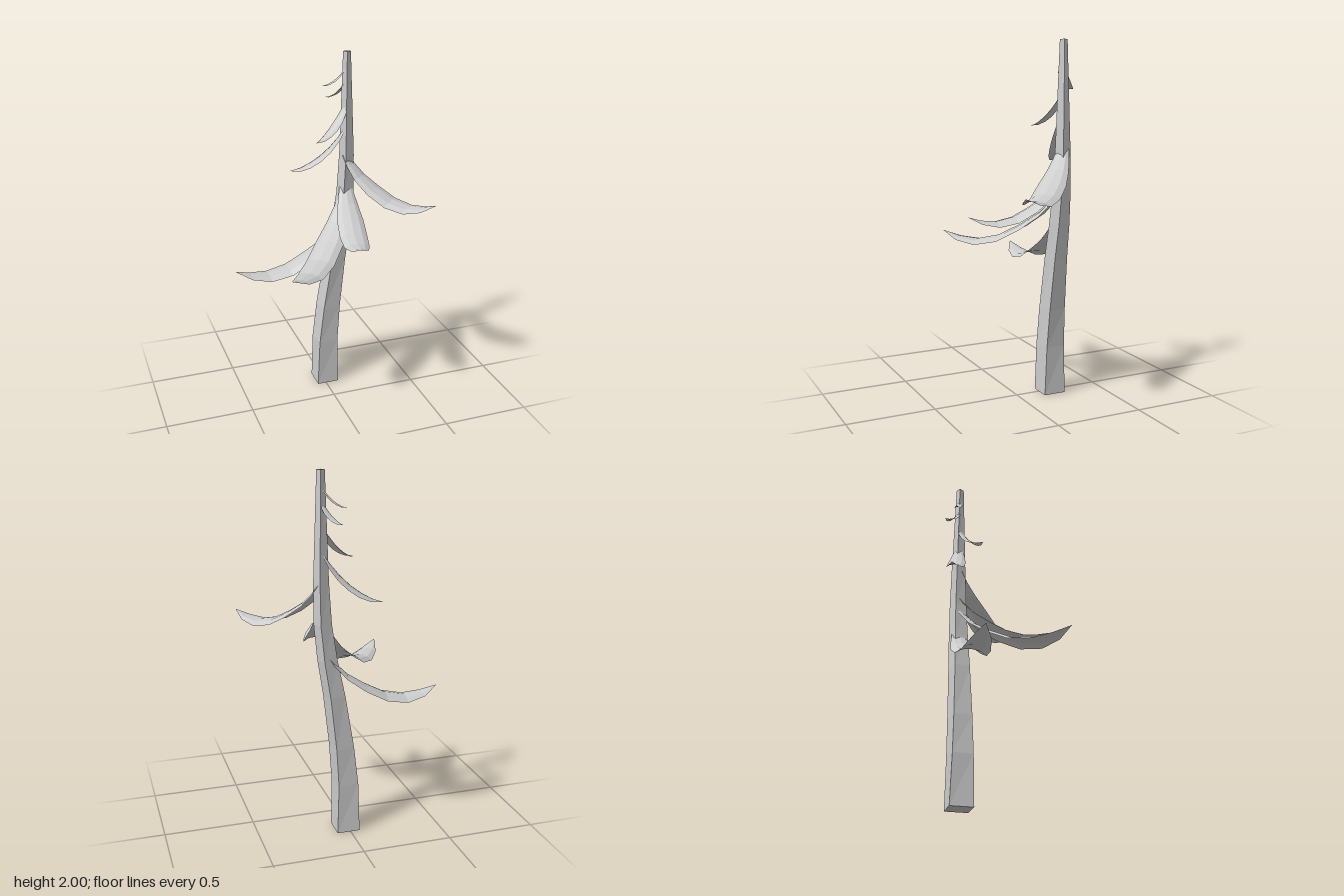
import * as THREE from 'three';

const grey = new THREE.MeshStandardMaterial({ color: 0xcccccc, side: THREE.DoubleSide });
grey.name = 'pale grey';

// Trunk centre line: [height, x]
const TRUNK = [[0, 0.012], [0.28, 0.015], [0.5, 0.035], [0.8, 0.077], [1.0, 0.114], [1.2, 0.139], [1.42, 0.147], [2, 0.147]];
const TRUNK_Z = -0.206;

// Frond centre lines: [distance out, drop], as fractions of the reach
const ARCHED = [[0, 0], [0.07, 0.1], [0.18, 0.21], [0.34, 0.315], [0.52, 0.41], [0.7, 0.45], [0.86, 0.435], [1, 0.395]];
const HANGING = [[0, 0], [0.07, 0.12], [0.16, 0.26], [0.31, 0.44], [0.48, 0.6], [0.65, 0.72], [0.82, 0.81], [1, 0.86]];
const WIDTHS = [0.4, 0.55, 0.77, 0.97, 1, 0.9, 0.6, 0];
// Cross-section of a frond: [across, sag], as fractions of the half width
const SECTION = [[-1, -0.34], [-0.6, -0.09], [0, 0], [0.6, -0.09], [1, -0.34]];

// Skin a grid of rings with flat facets
function skin(rings, closed) {
  const positions = [], index = [], n = rings[0].length;
  rings.forEach(ring => ring.forEach(p => positions.push(p.x, p.y, p.z)));
  for (let i = 0; i < rings.length - 1; i++) {
    for (let j = 0; j < (closed ? n : n - 1); j++) {
      const a = i * n + j, b = i * n + (j + 1) % n;
      index.push(a, b, b + n, a, b + n, a + n);
    }
  }
  if (closed) {
    const t = (rings.length - 1) * n;
    index.push(0, 2, 1, 0, 3, 2, t, t + 1, t + 2, t, t + 2, t + 3);
  }
  const indexed = new THREE.BufferGeometry();
  indexed.setAttribute('position', new THREE.Float32BufferAttribute(positions, 3));
  indexed.setIndex(index);
  const geometry = indexed.toNonIndexed();
  geometry.computeVertexNormals();
  return geometry;
}

function trunkX(y) {
  const i = Math.max(1, TRUNK.findIndex(p => p[0] >= y));
  const [y0, x0] = TRUNK[i - 1], [y1, x1] = TRUNK[i];
  return THREE.MathUtils.mapLinear(y, y0, y1, x0, x1);
}

// Square, tapering and gently twisted trunk
function trunkGeometry() {
  const rings = TRUNK.map(([y, x]) => {
    const half = 0.064 - 0.0245 * y;
    const twist = THREE.MathUtils.degToRad(15 * y);
    return [[-1, 1], [1, 1], [1, -1], [-1, -1]].map(([sx, sz]) =>
      new THREE.Vector3(sx * half, 0, sz * half)
        .applyAxisAngle(new THREE.Vector3(0, 1, 0), twist)
        .add(new THREE.Vector3(x, y, TRUNK_Z)));
  });
  return skin(rings, true);
}

// Curved, ridged frond running from the trunk to its tip
function frondGeometry({ rootY, tip, halfWidth, profile }) {
  const root = new THREE.Vector3(trunkX(rootY), rootY, TRUNK_Z);
  const out = new THREE.Vector3(tip[0] - root.x, 0, tip[1] - root.z);
  const reach = out.length();
  out.normalize();
  const up = new THREE.Vector3(0, 1, 0);
  const side = new THREE.Vector3().crossVectors(out, up);
  const rings = profile.map(([u, drop], i) => {
    const before = profile[Math.max(i - 1, 0)];
    const after = profile[Math.min(i + 1, profile.length - 1)];
    const tangent = out.clone().multiplyScalar(after[0] - before[0])
      .addScaledVector(up, before[1] - after[1]).normalize();
    const normal = new THREE.Vector3().crossVectors(side, tangent);
    const w = halfWidth * WIDTHS[i];
    return SECTION.map(([across, sag]) => root.clone()
      .addScaledVector(out, u * reach)
      .addScaledVector(up, -drop * reach)
      .addScaledVector(side, across * w)
      .addScaledVector(normal, sag * w));
  });
  return skin(rings, false);
}

const FRONDS = [
  { rootY: 1.05, tip: [-0.52, -0.205], halfWidth: 0.084, profile: ARCHED },
  { rootY: 1.21, tip: [-0.333, 0.31], halfWidth: 0.084, profile: ARCHED },
  { rootY: 1.27, tip: [0.05, 0.315], halfWidth: 0.077, profile: ARCHED },
  { rootY: 1.43, tip: [0.52, 0.205], halfWidth: 0.082, profile: ARCHED },
  { rootY: 1.6, tip: [-0.157, -0.31], halfWidth: 0.052, profile: HANGING },
  { rootY: 1.73, tip: [-0.062, -0.11], halfWidth: 0.033, profile: HANGING },
  { rootY: 1.85, tip: [0.06, -0.31], halfWidth: 0.024, profile: HANGING },
  { rootY: 1.925, tip: [0.022, -0.255], halfWidth: 0.02, profile: HANGING },
];

export function createModel() {
  const tree = new THREE.Group();
  tree.name = 'tree';
  const add = (geometry, name) => {
    const mesh = new THREE.Mesh(geometry, grey);
    mesh.name = name;
    tree.add(mesh);
  };
  add(trunkGeometry(), 'trunk');
  FRONDS.forEach((frond, i) => add(frondGeometry(frond), `frond${i + 1}`));
  return tree;
}
